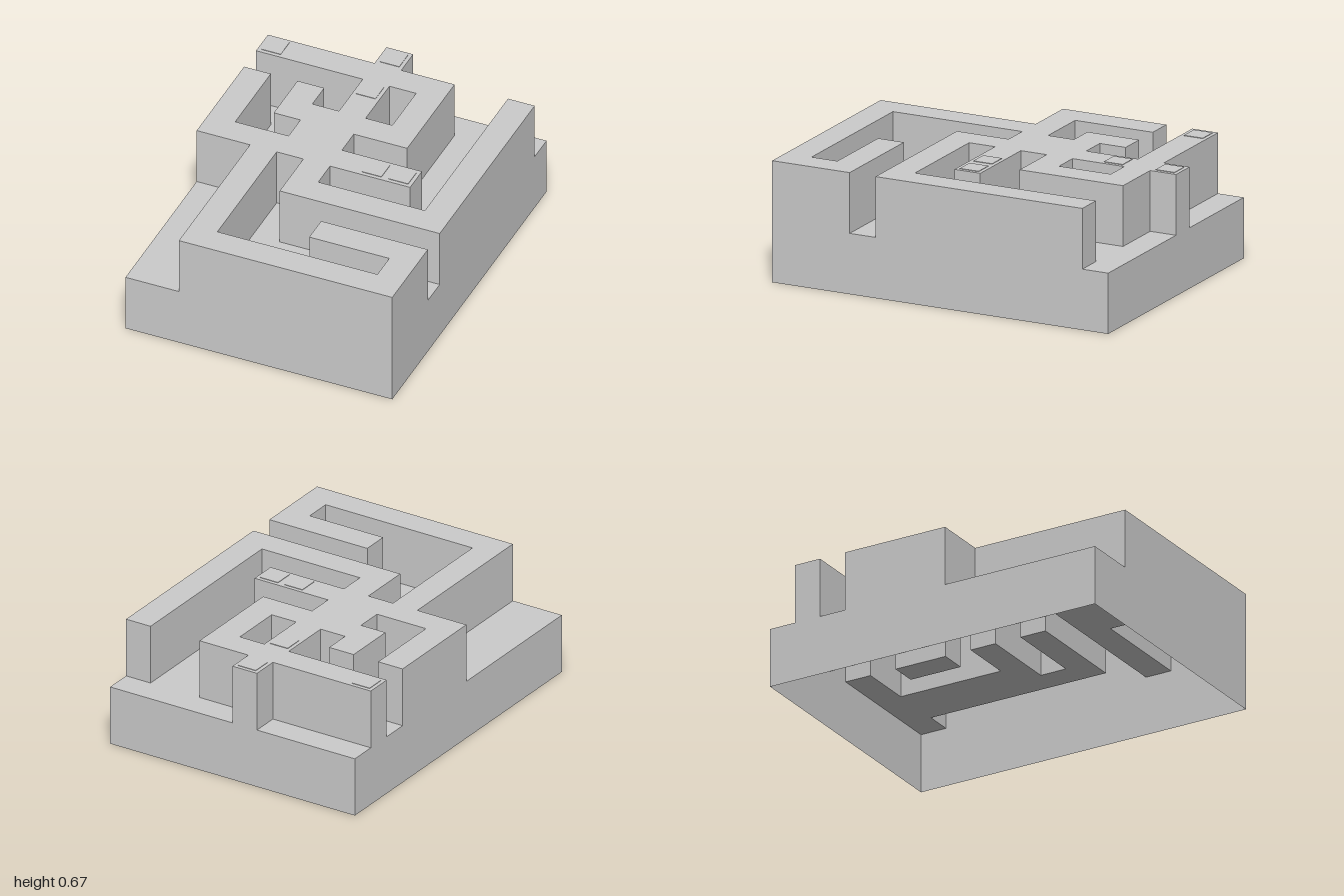
import * as THREE from 'three';

// Maze plan, back row first: '#' is a raised wall cell, '.' a sunken path cell
const PLAN = [
  '....#.....',
  '#######..#',
  '....#.#..#',
  '#.#.#.#..#',
  '#.#####..#',
  '#..##....#',
  '########.#',
  '..#.#....#',
  '..#.######',
  '..#.......',
  '..#...####',
  '..#......#',
  '..########',
];
const ROWS = PLAN.length, COLS = PLAN[0].length;
const CELL = 2 / ROWS, LOW = 0.335, HIGH = 0.67;

const edgeX = (c) => (c - COLS / 2) * CELL;
const edgeZ = (r) => (r - ROWS / 2) * CELL;

// Height of a cell; zero outside the plan
const heightAt = (r, c) => {
  const cell = PLAN[r]?.[c];
  return cell === '#' ? HIGH : cell === '.' ? LOW : 0;
};

// Mesh of quads, each given as four corners counter-clockwise from its front
function quadMesh(name, quads, material) {
  const positions = [];
  for (const [a, b, c, d] of quads) positions.push(...a, ...b, ...c, ...a, ...c, ...d);
  const geometry = new THREE.BufferGeometry();
  geometry.setAttribute('position', new THREE.Float32BufferAttribute(positions, 3));
  geometry.computeVertexNormals();
  const mesh = new THREE.Mesh(geometry, material);
  mesh.name = name;
  return mesh;
}

export function createModel() {
  const group = new THREE.Group();
  group.name = 'mazeBlock';
  const material = new THREE.MeshStandardMaterial({
    color: 0xcccccc, flatShading: true, side: THREE.DoubleSide,
  });

  const wallTops = [], pathFloors = [], wallSides = [], outerSides = [];
  for (let r = 0; r < ROWS; r++) {
    for (let c = 0; c < COLS; c++) {
      const h = heightAt(r, c);
      const x0 = edgeX(c), x1 = edgeX(c + 1), z0 = edgeZ(r), z1 = edgeZ(r + 1);

      // Level surface of the cell
      (h === HIGH ? wallTops : pathFloors).push(
        [[x0, h, z1], [x1, h, z1], [x1, h, z0], [x0, h, z0]]);

      // Upright faces down to each lower neighbour; the block is open below
      const sides = [
        [r + 1, c, x0, z1, x1, z1],
        [r, c + 1, x1, z1, x1, z0],
        [r - 1, c, x1, z0, x0, z0],
        [r, c - 1, x0, z0, x0, z1],
      ];
      for (const [nr, nc, ax, az, bx, bz] of sides) {
        const n = heightAt(nr, nc);
        if (n >= h) continue;
        (n === 0 ? outerSides : wallSides).push(
          [[ax, n, az], [bx, n, bz], [bx, h, bz], [ax, h, az]]);
      }
    }
  }
  group.add(
    quadMesh('wallTops', wallTops, material),
    quadMesh('pathFloors', pathFloors, material),
    quadMesh('wallSides', wallSides, material),
    quadMesh('outerSides', outerSides, material),
  );

  // Thin square marker tiles on the wall tops
  const tile = new THREE.BoxGeometry(0.112, 0.004, 0.112);
  for (const [r, c] of [[1, 0], [0, 4], [2, 4], [6, 6], [6, 7]]) {
    const marker = new THREE.Mesh(tile, material);
    marker.name = 'markerTile';
    marker.position.set(edgeX(c + 0.5), HIGH + 0.001, edgeZ(r + 0.5));
    group.add(marker);
  }
  return group;
}
